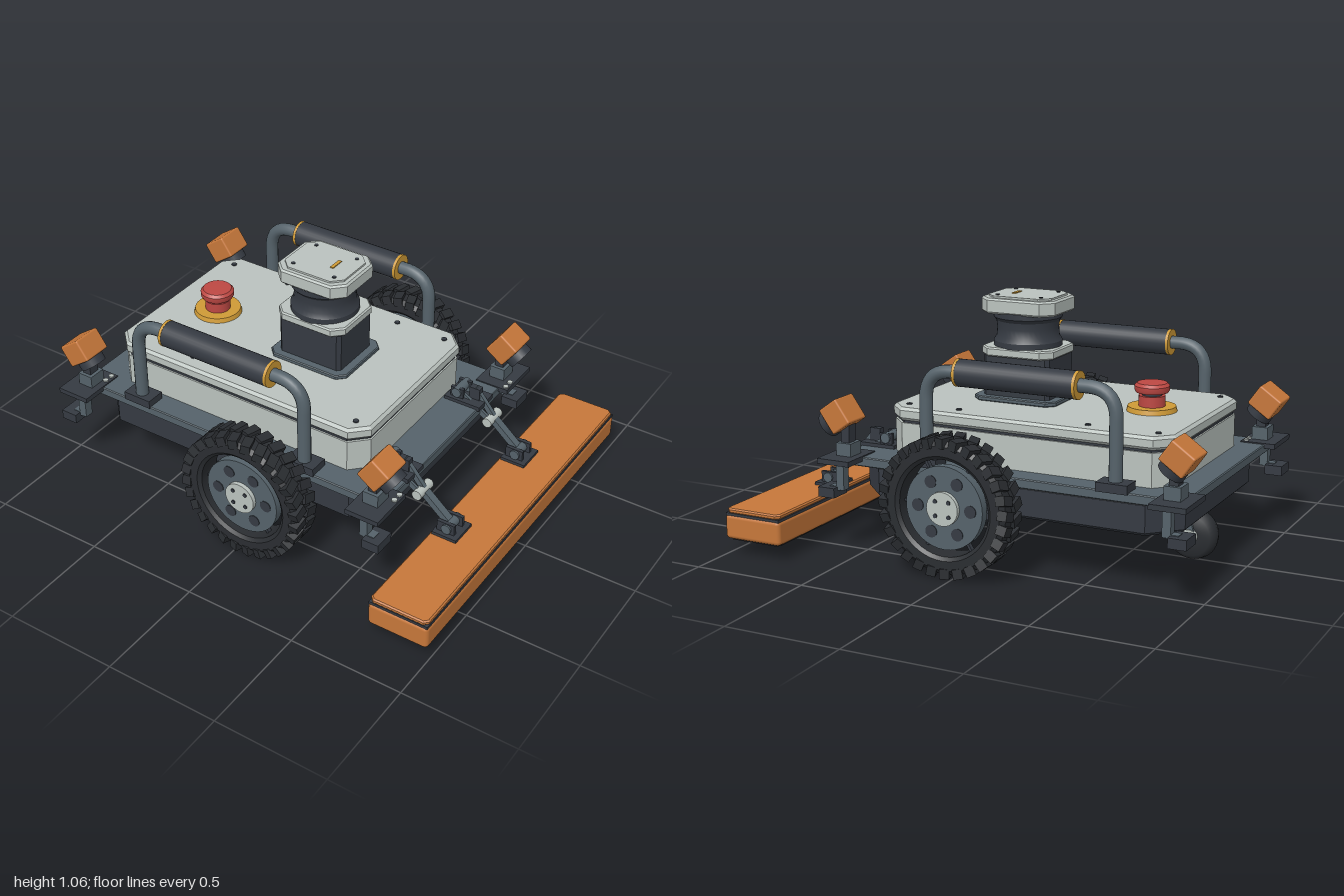
import * as THREE from 'three';
import { mergeGeometries, toCreasedNormals } from 'three/addons/utils/BufferGeometryUtils.js';
import { RoundedBoxGeometry } from 'three/addons/geometries/RoundedBoxGeometry.js';

function material(name, color) {
  const m = new THREE.MeshStandardMaterial({ color });
  m.name = name;
  return m;
}

export function createModel() {
  const light = material('lightGrey', 0xbac2be);
  const slate = material('slate', 0x55626a);
  const dark = material('darkGrey', 0x353a42);
  const rubber = material('rubber', 0x2a2d31);
  const orange = material('orange', 0xc6773a);
  const gold = material('gold', 0xcf9a36);
  const red = material('red', 0xbd4843);
  const root = new THREE.Group();
  root.name = 'wheeledRobot';

  function add(parent, name, geometry, mat, x = 0, y = 0, z = 0) {
    const mesh = new THREE.Mesh(geometry, mat);
    mesh.name = name;
    mesh.position.set(x, y, z);
    parent.add(mesh);
    return mesh;
  }
  function group(parent, name, x = 0, y = 0, z = 0) {
    const g = new THREE.Group();
    g.name = name;
    g.position.set(x, y, z);
    parent.add(g);
    return g;
  }
  // box given by its minimum and maximum corners
  const box = (parent, name, mat, x0, x1, y0, y1, z0, z1) =>
    add(parent, name, new THREE.BoxGeometry(x1 - x0, y1 - y0, Math.abs(z1 - z0)), mat,
      (x0 + x1) / 2, (y0 + y1) / 2, (z0 + z1) / 2);
  const cyl = (r, h, n = 24, r2 = r) => new THREE.CylinderGeometry(r2, r, h, n);
  const cylZ = (r, h, n = 24) => cyl(r, h, n).rotateX(Math.PI / 2);
  const cylX = (r, h, n = 24) => cyl(r, h, n).rotateZ(Math.PI / 2);

  // upright slab with cut corners and a bevelled rim, spanning y0 to y1
  function slab(parent, name, mat, x0, x1, hz, y0, y1, cut, bevel = 0) {
    const hx = (x1 - x0) / 2;
    const shape = new THREE.Shape([
      [hx - cut, -hz], [hx, -hz + cut], [hx, hz - cut], [hx - cut, hz],
      [-hx + cut, hz], [-hx, hz - cut], [-hx, -hz + cut], [-hx + cut, -hz],
    ].map(([x, y]) => new THREE.Vector2(x, y)));
    const g = new THREE.ExtrudeGeometry(shape, {
      depth: y1 - y0 - 2 * bevel, bevelEnabled: bevel > 0, bevelThickness: bevel,
      bevelSize: bevel, bevelOffset: -bevel, bevelSegments: 1,
    });
    g.translate(0, 0, bevel).rotateX(-Math.PI / 2);
    return add(parent, name, g, mat, (x0 + x1) / 2, y0, 0);
  }

  // chassis and body shell
  slab(root, 'chassisTray', dark, -0.87, 0.56, 0.5, 0.235, 0.37, 0.12, 0.012);
  slab(root, 'chassisDeck', slate, -0.92, 0.615, 0.52, 0.365, 0.405, 0.03, 0.004);
  slab(root, 'bodyShell', light, -0.81, 0.445, 0.415, 0.405, 0.545, 0.07);
  slab(root, 'lidSeam', dark, -0.803, 0.438, 0.408, 0.545, 0.555, 0.07);
  slab(root, 'bodyLid', light, -0.815, 0.45, 0.42, 0.555, 0.61, 0.07, 0.012);
  for (const x of [-0.74, -0.44, 0.14, 0.375])
    for (const z of [-0.35, 0.35]) add(root, 'lidScrew', cyl(0.012, 0.008, 12), dark, x, 0.611, z);

  // sensor mast
  const mast = group(root, 'sensorMast', -0.004);
  slab(mast, 'mastFoot', slate, -0.19, 0.19, 0.16, 0.61, 0.63, 0.035, 0.004);
  slab(mast, 'mastBlock', dark, -0.152, 0.152, 0.125, 0.63, 0.8, 0.015);
  slab(mast, 'lowerCollar', light, -0.165, 0.165, 0.145, 0.8, 0.838, 0.045, 0.006);
  const drum = [[0.145, 0.835], [0.145, 0.86], [0.133, 0.88], [0.13, 0.915], [0.134, 0.945],
    [0.146, 0.96], [0.146, 0.985]].map(([r, y]) => new THREE.Vector2(r, y));
  add(mast, 'sensorDrum', toCreasedNormals(new THREE.LatheGeometry(drum, 40), 0.5), dark);
  slab(mast, 'sensorCap', light, -0.17, 0.17, 0.146, 0.98, 1.045, 0.05, 0.008);
  slab(mast, 'capInset', light, -0.145, 0.145, 0.122, 1.045, 1.053, 0.042);
  box(mast, 'capMark', gold, 0.045, 0.06, 1.052, 1.057, -0.032, 0.032);
  for (const x of [-0.1, 0.1])
    for (const z of [-0.085, 0.085]) add(mast, 'capScrew', cyl(0.009, 0.006, 10), dark, x, 1.053, z);

  // emergency stop button
  const stop = group(root, 'stopButton', -0.57, 0.61, 0);
  add(stop, 'stopBase', cyl(0.105, 0.02, 36, 0.1), gold, 0, 0.01, 0);
  add(stop, 'stopCollar', cyl(0.055, 0.045, 28), red, 0, 0.042, 0);
  add(stop, 'stopNeck', cyl(0.042, 0.025, 24), dark, 0, 0.07, 0);
  const cap = [[0, 0.078], [0.068, 0.078], [0.073, 0.088], [0.073, 0.105], [0.062, 0.117], [0, 0.12]]
    .map(([r, y]) => new THREE.Vector2(r, y));
  add(stop, 'stopCap', toCreasedNormals(new THREE.LatheGeometry(cap, 32), 0.6), red);

  // side handle path
  const v = (x, y, z = 0) => new THREE.Vector3(x, y, z);
  const [hl, hr, ht, bend] = [-0.62, 0.217, 0.8, 0.12];
  const handlePath = new THREE.CurvePath();
  handlePath.add(new THREE.LineCurve3(v(hl, 0.41), v(hl, ht - bend)));
  handlePath.add(new THREE.QuadraticBezierCurve3(v(hl, ht - bend), v(hl, ht), v(hl + bend, ht)));
  handlePath.add(new THREE.LineCurve3(v(hl + bend, ht), v(hr - bend, ht)));
  handlePath.add(new THREE.QuadraticBezierCurve3(v(hr - bend, ht), v(hr, ht), v(hr, ht - bend)));
  handlePath.add(new THREE.LineCurve3(v(hr, ht - bend), v(hr, 0.41)));

  // tyre ring and its two staggered rows of slanted lugs
  const tyreProfile = [[0.2, -0.05], [0.215, -0.062], [0.255, -0.062], [0.274, -0.045], [0.274, 0.045],
    [0.255, 0.062], [0.215, 0.062], [0.2, 0.05], [0.2, -0.05]].map(([r, y]) => new THREE.Vector2(r, y));
  const tyre = toCreasedNormals(new THREE.LatheGeometry(tyreProfile, 48).rotateX(Math.PI / 2), 0.5);
  const lugs = [];
  const lugCount = 28;
  for (let i = 0; i < lugCount; i++)
    for (const row of [-1, 1]) {
      const lug = new THREE.BoxGeometry(0.042, 0.04, 0.064);
      lug.rotateX(row * 0.3).translate(0.268, 0, row * 0.036);
      lugs.push(lug.rotateZ(((i + (row > 0 ? 0.5 : 0)) / lugCount) * Math.PI * 2));
    }
  const tread = mergeGeometries(lugs);

  for (const s of [-1, 1]) {
    // handle
    const handle = group(root, s > 0 ? 'frontHandle' : 'backHandle', 0, 0, s * 0.485);
    add(handle, 'handleTube', new THREE.TubeGeometry(handlePath, 80, 0.028, 14), slate);
    add(handle, 'handleGrip', cylX(0.056, 0.515, 28), dark, -0.197, ht, 0);
    for (const x of [-0.459, 0.065]) add(handle, 'gripRing', cylX(0.057, 0.012, 28), gold, x, ht, 0);
    for (const x of [hl, hr]) box(handle, 'handleFoot', dark, x - 0.067, x + 0.067, 0.4, 0.437, -0.047, 0.04);

    // drive wheel
    const wheel = group(root, s > 0 ? 'frontWheel' : 'backWheel', 0.035, 0.29, s * 0.628);
    add(wheel, 'tyre', tyre, rubber);
    add(wheel, 'tread', tread, rubber);
    add(wheel, 'wheelDisc', cylZ(0.172, 0.04, 40), slate, 0, 0, s * 0.025);
    add(wheel, 'wheelHub', cylZ(0.07, 0.02, 28), light, 0, 0, s * 0.053);
    add(wheel, 'axle', cylZ(0.038, 0.16, 20), slate, 0, 0, -s * 0.07);
    for (let i = 0; i < 6; i++) {
      const a = (i * Math.PI) / 3;
      add(wheel, 'discRecess', cylZ(0.026, 0.006, 18), dark, Math.cos(a) * 0.118, Math.sin(a) * 0.118, s * 0.045);
      const spoke = add(wheel, 'spoke', new THREE.BoxGeometry(0.06, 0.012, 0.02), dark,
        Math.cos(a) * 0.185, Math.sin(a) * 0.185, 0);
      spoke.rotation.z = a;
    }
    for (const x of [-0.03, 0.03])
      for (const y of [-0.03, 0.03]) add(wheel, 'hubBolt', cylZ(0.009, 0.006, 10), dark, x, y, s * 0.064);
    box(root, 'motorHousing', dark, -0.09, 0.16, 0.21, 0.36, s * 0.38, s * 0.505);

    // corner lamps with brackets and floor sensors
    for (const [x, tilt, end] of [[-0.905, -0.96, -1], [0.6, -0.62, 1]]) {
      const corner = group(root, 'cornerUnit', 0, 0, s * 0.515);
      const x0 = end < 0 ? -0.965 : 0.505;
      box(corner, 'cornerPlate', dark, x0, x0 + 0.152, 0.388, 0.41, s * -0.095, s * 0.115);
      const postX = end < 0 ? -0.88 : 0.575;
      box(corner, 'lampPost', slate, postX - 0.035, postX + 0.035, 0.41, 0.465, -0.04, 0.04);
      box(corner, 'lampStem', dark, postX - 0.02, postX + 0.02, 0.46, 0.56, -0.025, 0.025);
      for (const z of [-0.075, -0.037])
        add(corner, 'plateScrew', cyl(0.012, 0.008, 12), light, end < 0 ? -0.832 : 0.64, 0.412, s * z);
      const lamp = group(corner, 'lamp', x, 0.58, 0);
      lamp.rotation.z = tilt;
      add(lamp, 'lampHousing', new RoundedBoxGeometry(0.1, 0.118, 0.135, 2, 0.008), orange);
      add(lamp, 'lampLens', cylX(0.057, 0.04, 24), dark, 0.066, -0.002, 0);
      const legX = end < 0 ? -0.875 : 0.57;
      box(corner, 'sensorLeg', slate, legX - 0.018, legX + 0.018, 0.275, 0.39, s * 0.04, s * 0.08);
      box(corner, 'sensorArm', slate, Math.min(legX, legX + end * 0.05), Math.max(legX, legX + end * 0.05),
        0.272, 0.29, s * 0.04, s * 0.08);
      const footX = end < 0 ? -0.93 : 0.62;
      box(corner, 'floorSensor', dark, footX - 0.038, footX + 0.038, 0.245, 0.287, s * 0.01, s * 0.11);
    }

    // bumper linkage
    const arm = group(root, 'bumperArm', 0, 0, s * 0.29);
    const link = (name, mat, a, b, h, w, z) => {
      const m = add(arm, name, new THREE.BoxGeometry(Math.hypot(b[0] - a[0], b[1] - a[1]), h, w), mat,
        (a[0] + b[0]) / 2, (a[1] + b[1]) / 2, z);
      m.rotation.z = Math.atan2(b[1] - a[1], b[0] - a[0]);
    };
    box(arm, 'armMount', dark, 0.455, 0.625, 0.4, 0.42, -0.06, 0.06);
    for (const z of [-0.034, 0.034]) {
      box(arm, 'armClevis', dark, 0.475, 0.535, 0.41, 0.465, z - 0.008, z + 0.008);
      box(arm, 'lowerClevis', dark, 0.755, 0.835, 0.205, 0.26, z - 0.008, z + 0.008);
      link('armLink', slate, [0.5, 0.445], [0.665, 0.345], 0.026, 0.012, z * 0.7);
    }
    link('lowerLink', slate, [0.65, 0.36], [0.8, 0.232], 0.028, 0.035, 0);
    link('damper', slate, [0.57, 0.47], [0.67, 0.35], 0.024, 0.02, 0);
    box(arm, 'damperBracket', dark, 0.55, 0.6, 0.41, 0.475, -0.015, 0.015);
    for (const [x, y] of [[0.505, 0.445], [0.66, 0.348], [0.8, 0.235]])
      add(arm, 'armPivot', cylZ(0.022, 0.1, 16), x === 0.66 ? light : slate, x, y, 0);
    box(arm, 'armFoot', dark, 0.745, 0.857, 0.198, 0.213, -0.065, 0.065);
  }

  // bumper bar
  const bumper = group(root, 'bumper', 0.865, 0, 0);
  add(bumper, 'bumperBar', new RoundedBoxGeometry(0.27, 0.107, 1.63, 3, 0.018), orange, 0, 0.121, 0);
  add(bumper, 'bumperSeam', new THREE.BoxGeometry(0.262, 0.012, 1.62), dark, 0, 0.174, 0);
  slab(bumper, 'bumperLid', orange, -0.13, 0.13, 0.81, 0.178, 0.2, 0.018, 0.006);
  slab(bumper, 'bumperSole', rubber, -0.122, 0.122, 0.8, 0.063, 0.07, 0.015);

  // trailing caster
  const caster = group(root, 'caster', -0.765, 0.108, 0);
  add(caster, 'casterTyre', new RoundedBoxGeometry(0.01, 0.01, 0.01, 1, 0.001), rubber);
  const casterProfile = [[0.03, -0.04], [0.085, -0.04], [0.102, -0.026], [0.108, 0], [0.102, 0.026],
    [0.085, 0.04], [0.03, 0.04]].map(([r, y]) => new THREE.Vector2(r, y));
  caster.children[0].geometry = toCreasedNormals(
    new THREE.LatheGeometry(casterProfile, 36).rotateX(Math.PI / 2), 0.7);
  add(caster, 'casterHub', cylZ(0.032, 0.125, 20), light);
  for (const z of [-0.052, 0.052]) {
    const fork = add(caster, 'casterFork', new THREE.BoxGeometry(0.055, 0.125, 0.012), slate, 0.017, 0.052, z);
    fork.rotation.z = -0.3;
  }
  box(caster, 'forkCrown', slate, -0.02, 0.1, 0.108, 0.12, -0.058, 0.058);
  add(caster, 'casterSwivel', cyl(0.045, 0.02), light, 0.04, 0.122, 0);
  box(caster, 'casterPlate', light, -0.04, 0.12, 0.118, 0.132, -0.075, 0.075);
  return root;
}
